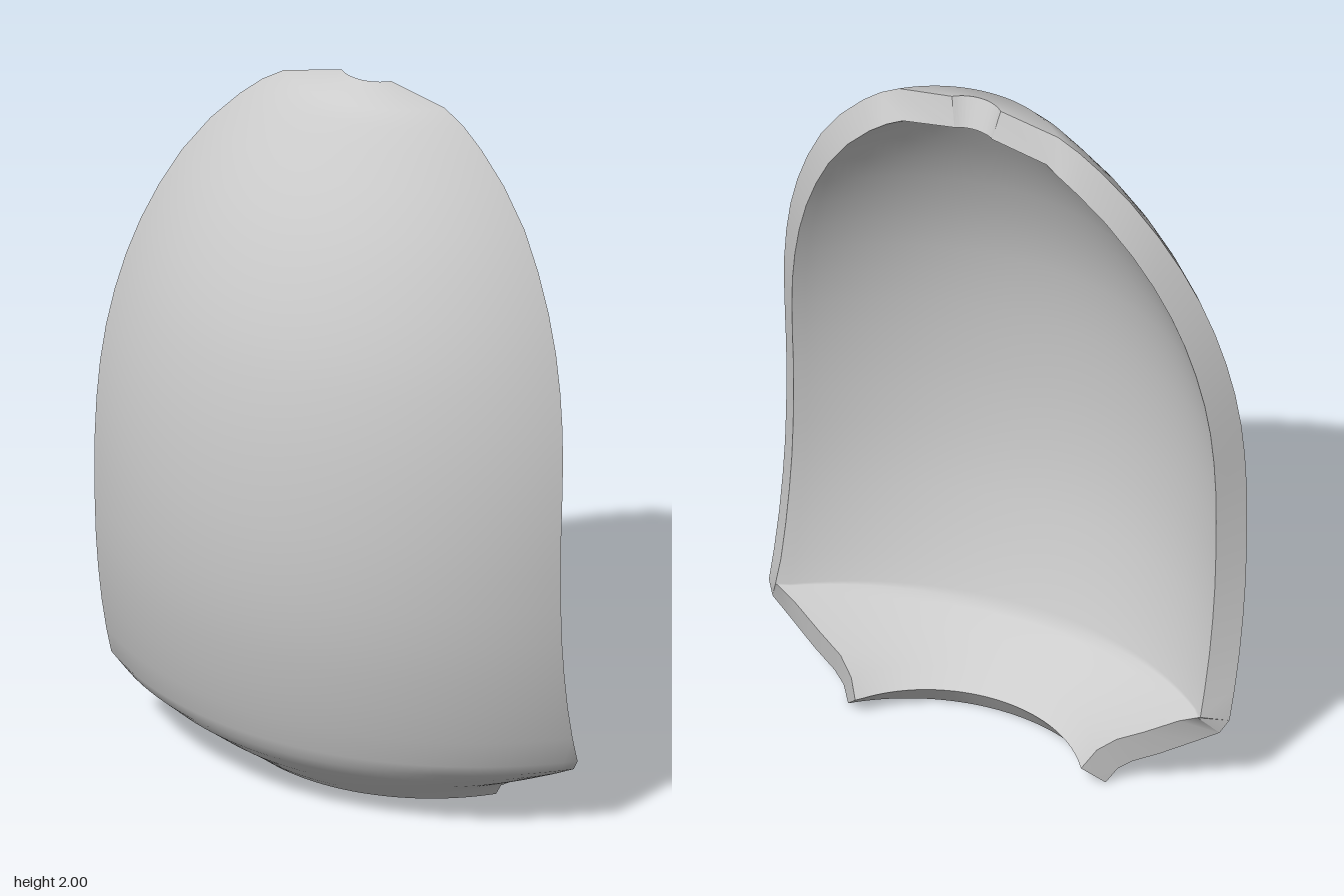
import * as THREE from 'three';
import { toCreasedNormals } from 'three/addons/utils/BufferGeometryUtils.js';

const THICKNESS = 0.085;
const COLS = 40;

// Cross-sections from bottom to top: height, half width, z at centre, z at rim
const SECTIONS = [
  [0, 0.38, -0.055, -0.215],
  [0.04, 0.405, 0, -0.195],
  [0.065, 0.44, 0.03, -0.18],
  [0.1, 0.51, 0.075, -0.16],
  [0.15, 0.6, 0.13, -0.13],
  [0.185, 0.66, 0.155, -0.112],
  [0.22, 0.68, 0.168, -0.095],
  [0.3, 0.68, 0.193, -0.067],
  [0.4, 0.68, 0.217, -0.04],
  [0.5, 0.68, 0.237, -0.021],
  [0.6, 0.68, 0.252, -0.008],
  [0.7, 0.68, 0.26, -0.002],
  [0.8, 0.68, 0.264, 0],
  [0.9, 0.68, 0.263, -0.002],
  [1.0, 0.679, 0.258, -0.01],
  [1.1, 0.675, 0.25, -0.022],
  [1.2, 0.666, 0.237, -0.038],
  [1.3, 0.65, 0.219, -0.056],
  [1.4, 0.627, 0.195, -0.076],
  [1.5, 0.595, 0.16, -0.097],
  [1.6, 0.553, 0.12, -0.12],
  [1.7, 0.5, 0.07, -0.145],
  [1.8, 0.428, 0.01, -0.168],
  [1.88, 0.352, -0.045, -0.187],
  [1.93, 0.293, -0.078, -0.199],
  [1.965, 0.235, -0.11, -0.207],
  [2.0, 0.072, -0.19, -0.218],
];

// Point on the circular arc that spans one section
function arcPoint([y, w, zc, ze], t) {
  const sag = zc - ze;
  const r = (w * w + sag * sag) / (2 * sag);
  const a = Math.asin(w / r) * t;
  return new THREE.Vector3(r * Math.sin(a), y, zc - r + r * Math.cos(a));
}

// Indexed surface through the grid of points
function gridGeometry(points, flip) {
  const index = [];
  const n = COLS + 1;
  for (let j = 0; j < SECTIONS.length - 1; j++) {
    for (let i = 0; i < COLS; i++) {
      const a = j * n + i, b = a + 1, c = b + n, d = a + n;
      index.push(...(flip ? [a, c, b, a, d, c] : [a, b, c, a, c, d]));
    }
  }
  const geometry = new THREE.BufferGeometry().setFromPoints(points);
  geometry.setIndex(index);
  geometry.computeVertexNormals();
  return geometry;
}

// Grid indices around the open edge, anticlockwise from the front
function boundary() {
  const n = COLS + 1, last = SECTIONS.length - 1, loop = [];
  for (let i = 0; i < COLS; i++) loop.push(i);
  for (let j = 0; j < last; j++) loop.push(j * n + COLS);
  for (let i = COLS; i > 0; i--) loop.push(last * n + i);
  for (let j = last; j > 0; j--) loop.push(j * n);
  return loop;
}

export function createModel() {
  const group = new THREE.Group();
  group.name = 'curvedShell';
  const material = new THREE.MeshStandardMaterial({ color: 0xcccccc });
  const add = (geometry, name) => {
    const mesh = new THREE.Mesh(geometry, material);
    mesh.name = name;
    group.add(mesh);
  };

  // Convex front skin
  const outer = [];
  for (const section of SECTIONS) {
    for (let i = 0; i <= COLS; i++) outer.push(arcPoint(section, (2 * i) / COLS - 1));
  }
  const front = gridGeometry(outer, false);
  add(front, 'outerSkin');

  // Concave back skin, offset along the front skin's normals
  const normals = front.attributes.normal;
  const inner = outer.map((p, k) =>
    p.clone().addScaledVector(new THREE.Vector3().fromBufferAttribute(normals, k), -THICKNESS));
  add(gridGeometry(inner, true), 'innerSkin');

  // Rim joining the two skins
  const loop = boundary();
  const rim = [];
  loop.forEach((a, k) => {
    const b = loop[(k + 1) % loop.length];
    rim.push(outer[a], inner[a], inner[b], outer[a], inner[b], outer[b]);
  });
  add(toCreasedNormals(new THREE.BufferGeometry().setFromPoints(rim), 0.5), 'rim');

  return group;
}
